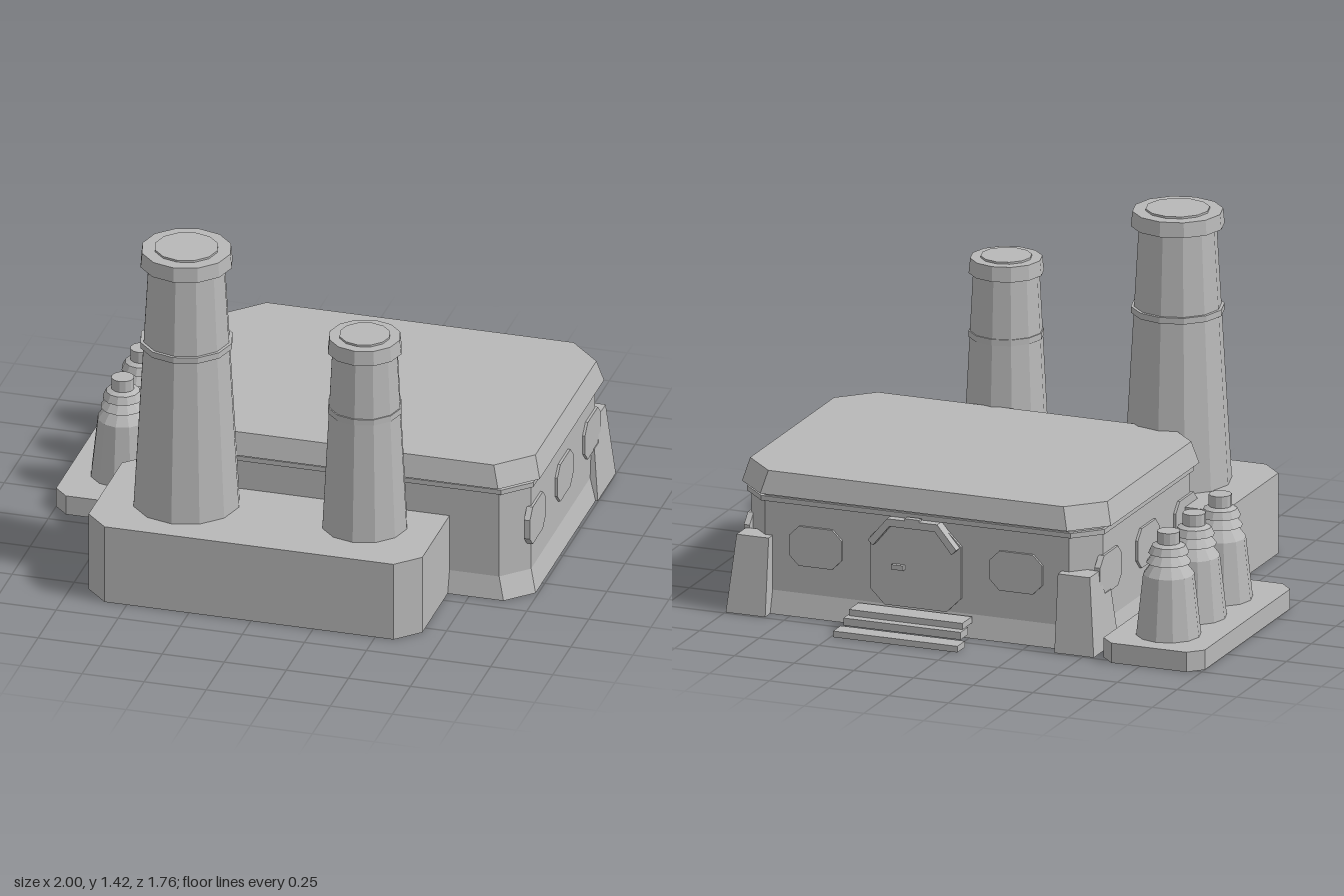
import * as THREE from 'three';

export function createModel() {
  const root = new THREE.Group();
  const grey = new THREE.MeshStandardMaterial({ color: 0xb8b8b8, flatShading: true, side: THREE.DoubleSide });
  grey.name = 'concrete grey';

  function add(name, geo, x = 0, y = 0, z = 0, parent = root) {
    const m = new THREE.Mesh(geo, grey);
    m.name = name;
    m.position.set(x, y, z);
    parent.add(m);
    return m;
  }
  const box = (w, h, d) => new THREE.BoxGeometry(w, h, d);
  const group = (name) => {
    const g = new THREE.Group();
    g.name = name;
    root.add(g);
    return g;
  };

  // Stack of corner-cut rectangles; each level is [y, x0, x1, z0, z1, cut]
  function loft(levels, { top = true, bottom = false } = {}) {
    const rings = levels.map(([y, x0, x1, z0, z1, c]) => [
      [x0 + c, z1], [x1 - c, z1], [x1, z1 - c], [x1, z0 + c],
      [x1 - c, z0], [x0 + c, z0], [x0, z0 + c], [x0, z1 - c],
    ].map(([x, z]) => [x, y, z]));
    const pos = [];
    const tri = (a, b, c) => pos.push(...a, ...b, ...c);
    for (let k = 0; k < rings.length - 1; k++) {
      const a = rings[k], b = rings[k + 1];
      for (let i = 0; i < 8; i++) {
        const j = (i + 1) % 8;
        tri(a[i], a[j], b[j]);
        tri(a[i], b[j], b[i]);
      }
    }
    const last = rings[rings.length - 1], first = rings[0];
    for (let i = 1; i < 7; i++) {
      if (top) tri(last[0], last[i], last[i + 1]);
      if (bottom) tri(first[0], first[i + 1], first[i]);
    }
    const g = new THREE.BufferGeometry();
    g.setAttribute('position', new THREE.Float32BufferAttribute(pos, 3));
    g.computeVertexNormals();
    return g;
  }

  const shapeOf = (pts) => new THREE.Shape(pts.map(([x, y]) => new THREE.Vector2(x, y)));
  const extrude = (pts, depth) => new THREE.ExtrudeGeometry(shapeOf(pts), { depth, bevelEnabled: false });

  // Octagonal panel centred on its own origin
  function plate(w, h, c) {
    const a = w / 2, b = h / 2;
    return extrude([[-a + c, -b], [a - c, -b], [a, -b + c], [a, b - c],
      [a - c, b], [-a + c, b], [-a, b - c], [-a, -b + c]], 0.024).translate(0, 0, -0.012);
  }

  // Main hall: open flared plinth, walls with a raised floor, cornice and roof
  const ring = (y, o, c = 0.1) => [y, -0.508 - o, 0.964 + o, -0.665 - o, 0.415 + o, c];
  add('plinth', loft([ring(0, 0.025), ring(0.09, 0)], { top: false }));
  add('hallWalls', loft([ring(0.09, 0), ring(0.485, 0)], { bottom: true }));
  add('corniceBand', loft([ring(0.45, 0.012), ring(0.47, 0.012)], { bottom: true }));
  add('roof', loft([ring(0.485, 0.036, 0.13), ring(0.575, 0.012, 0.13)], { bottom: true }));

  // Chimney base and transformer pad, hollow underneath
  add('chimneyBase', loft([0, 0.325].map((y) => [y, -0.68, 0.664, 0.24, 0.88, 0.09])));
  add('sidePad', loft([0, 0.08].map((y) => [y, -1, -0.576, -0.775, 0.195, 0.055])));

  // Chimneys: tapered shaft, middle ring, cap and raised lid
  function chimney(name, x, rBase, rTop, yRing, rRing, yCap, rCap, rLid) {
    const g = group(name);
    const drum = (part, rt, rb, y0, y1) =>
      add(part, new THREE.CylinderGeometry(rt, rb, y1 - y0, 12), x, (y0 + y1) / 2, 0.573, g);
    drum('shaft', rTop, rBase, 0.325, yCap);
    drum('ring', rRing, rRing, yRing, yRing + 0.025);
    drum('cap', rCap - 0.006, rCap, yCap, yCap + 0.06);
    drum('lid', rLid, rLid, yCap + 0.06, yCap + 0.068);
  }
  chimney('tallChimney', -0.349, 0.211, 0.152, 1.005, 0.183, 1.355, 0.183, 0.125);
  chimney('shortChimney', 0.369, 0.169, 0.13, 0.82, 0.147, 1.078, 0.147, 0.1);

  // Row of ribbed insulators
  const profile = [[0.127, 0.08], [0.1, 0.325], [0.066, 0.37], [0.088, 0.372], [0.062, 0.405],
    [0.08, 0.41], [0.066, 0.44], [0.045, 0.45], [0.045, 0.497], [0, 0.497]]
    .map(([r, y]) => new THREE.Vector2(r, y));
  for (const z of [-0.575, -0.317, -0.055]) add('insulator', new THREE.LatheGeometry(profile, 12), -0.788, 0, z);

  // Stepped, leaning buttresses at the back corners
  for (const side of [1, -1]) {
    const g = extrude([[0.49, 0], [0.74, 0], [0.705, 0.31], [0.61, 0.31], [0.575, 0.21], [0.515, 0.21]], 0.165);
    g.rotateY(Math.PI / 2).translate(side > 0 ? 0.833 : -0.543, 0, 0);
    const p = g.attributes.position;
    for (let i = 0; i < p.count; i++) {
      if ((p.getX(i) - 0.228) * side > 0.68) p.setX(i, p.getX(i) - side * 0.1 * p.getY(i));
    }
    g.computeVertexNormals();
    add(side > 0 ? 'leftButtress' : 'rightButtress', g);
  }

  // Windows on both sides and the back
  for (const z of [0.257, -0.125, -0.505]) {
    for (const x of [0.962, -0.506]) add('sideWindow', plate(0.22, 0.16, 0.04), x, 0.283, z).rotation.y = Math.PI / 2;
  }
  for (const x of [0.65, -0.19]) add('backWindow', plate(0.22, 0.16, 0.04), x, 0.283, -0.663);

  // Back door with hood, lamp, handle and steps
  const door = group('backDoor');
  add('doorPanel', plate(0.38, 0.33, 0.06), 0.23, 0.255, -0.664, door);
  add('doorHood', extrude([[-0.185, 0.355], [-0.165, 0.335], [-0.095, 0.42], [0.095, 0.42],
    [0.165, 0.335], [0.185, 0.355], [0.105, 0.45], [-0.105, 0.45]], 0.05), 0.23, 0, -0.712, door);
  add('doorLamp', box(0.06, 0.03, 0.025), 0.23, 0.445, -0.702, door);
  add('doorHandle', box(0.05, 0.02, 0.025), 0.3, 0.25, -0.68, door);
  [[0.52, 0, 0.025, -0.88, -0.805], [0.49, 0.03, 0.06, -0.812, -0.735], [0.475, 0.06, 0.085, -0.775, -0.68]]
    .forEach(([w, y0, y1, z0, z1]) =>
      add('step', box(w, y1 - y0, z1 - z0), 0.23, (y0 + y1) / 2, (z0 + z1) / 2, door));

  return root;
}
